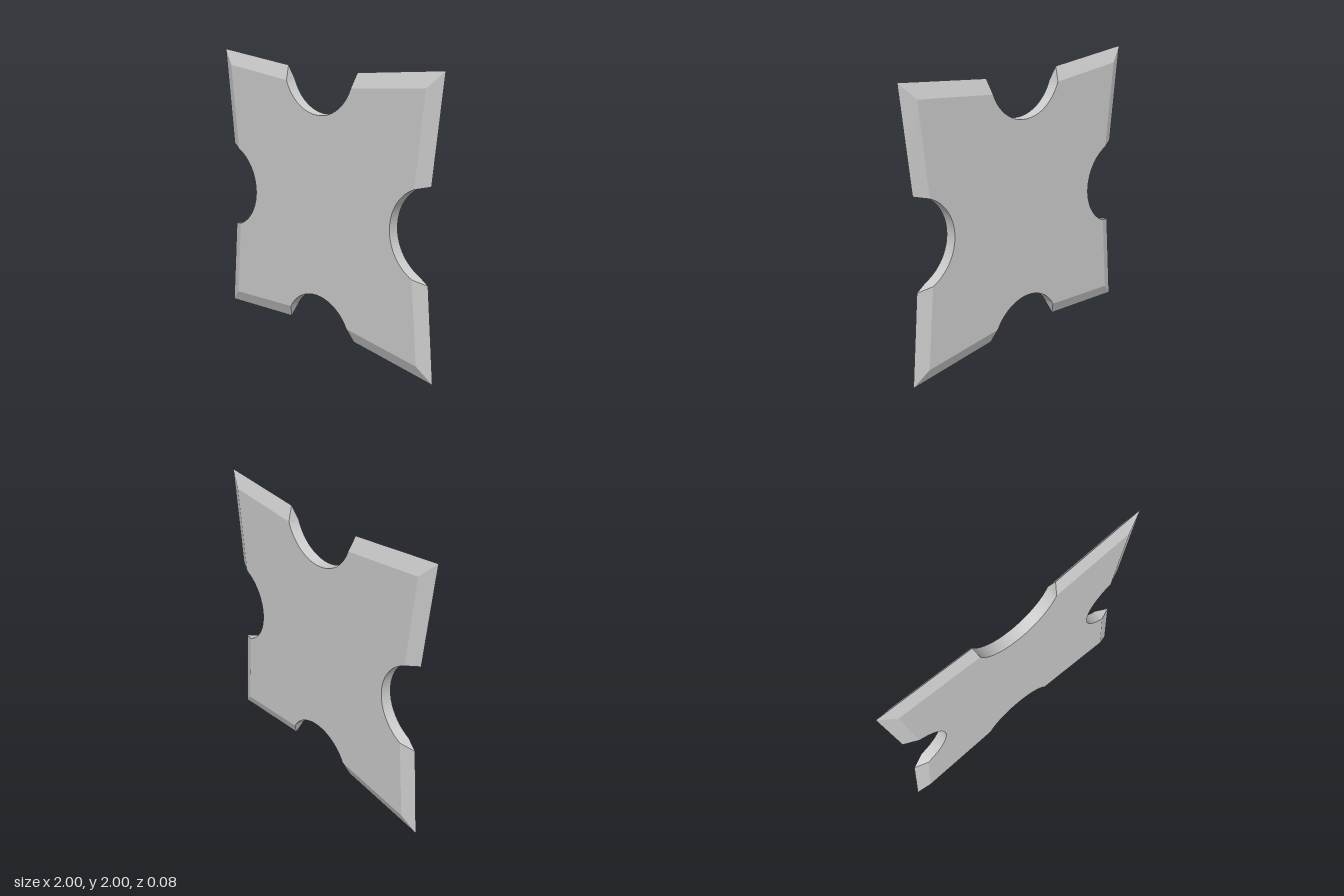
import * as THREE from 'three';

const H = 0.04;              // half thickness of the plate
const MID = 1.0025;          // height of the star's centre
const NOTCH_MID = 0.984;     // height of the centre of the notch ring
const NOTCH_DIST = 0.965, NOTCH_R = 0.32, STEPS = 32;

// point of the star outline, turned by quarter turns about the centre
function starPoint(u, v, turn) {
  const p = new THREE.Vector2(u, v).rotateAround(new THREE.Vector2(), turn);
  return new THREE.Vector2(p.x, MID + p.y * 0.9975);
}

// where the edge from a corner to the middle of a side enters the notch circle
function enterCircle(from, to, centre) {
  const d = to.clone().sub(from), f = from.clone().sub(centre);
  const a = d.dot(d), b = f.dot(d), c = f.dot(f) - NOTCH_R * NOTCH_R;
  return from.clone().addScaledVector(d, (-b - Math.sqrt(b * b - a * c)) / a);
}

function buildGeometry(points, index) {
  const g = new THREE.BufferGeometry();
  g.setAttribute('position', new THREE.Float32BufferAttribute(points, 3));
  if (index) g.setIndex(index);
  g.computeVertexNormals();
  return g;
}

export function createModel() {
  const group = new THREE.Group();
  const material = new THREE.MeshStandardMaterial({ color: 0xcccccc });
  const add = (geometry, name) => {
    const mesh = new THREE.Mesh(geometry, material);
    mesh.name = name;
    group.add(mesh);
    return mesh;
  };

  const faceOutline = [];
  const bevel = [];

  // flat bevel strip on both sides, from the sharp edge up to the face
  const addBevel = (o0, o1, i1, i0) => {
    for (const s of [1, -1]) {
      const q = [[o0, 0], [o1, 0], [i1, s * H], [i0, s * H]];
      const order = s > 0 ? [0, 1, 2, 0, 2, 3] : [0, 2, 1, 0, 3, 2];
      for (const k of order) bevel.push(q[k][0].x, q[k][0].y, q[k][1]);
    }
  };

  for (let k = 0; k < 4; k++) {
    const turn = k * Math.PI / 2;
    const centre = new THREE.Vector2(0, NOTCH_DIST).rotateAround(new THREE.Vector2(), turn);
    centre.y += NOTCH_MID;

    // outer sharp edge and inner face edge of this side
    const [outer, inner] = [[1, 0.902], [0.893, 0.805]].map(([corner, dent]) => {
      const a = starPoint(corner, corner, turn), b = starPoint(-corner, corner, turn);
      const m = starPoint(0, dent, turn);
      return { a, b, hitA: enterCircle(a, m, centre), hitB: enterCircle(b, m, centre) };
    });
    addBevel(outer.a, outer.hitA, inner.hitA, inner.a);
    addBevel(outer.hitB, outer.b, inner.b, inner.hitB);

    // round notch, swept clockwise into the plate
    const start = inner.hitA.clone().sub(centre).angle();
    let end = inner.hitB.clone().sub(centre).angle();
    if (end > start) end -= 2 * Math.PI;
    faceOutline.push(inner.a);
    const wall = [], index = [];
    for (let i = 0; i <= STEPS; i++) {
      const t = start + (end - start) * i / STEPS;
      const p = new THREE.Vector2(Math.cos(t), Math.sin(t)).multiplyScalar(NOTCH_R).add(centre);
      faceOutline.push(p);
      wall.push(p.x, p.y, -H, p.x, p.y, H);
      const n = 2 * i;
      if (i < STEPS) index.push(n, n + 2, n + 3, n, n + 3, n + 1);
    }
    // pointed ends of the notch wall reach the sharp edge
    const last = 2 * STEPS;
    wall.push(outer.hitA.x, outer.hitA.y, 0, outer.hitB.x, outer.hitB.y, 0);
    index.push(last + 2, 0, 1, last, last + 3, last + 1);
    add(buildGeometry(wall, index), 'notchWall' + (k + 1));
  }

  add(buildGeometry(bevel), 'bladeBevels');

  // flat front and back faces
  const face = new THREE.ShapeGeometry(new THREE.Shape(faceOutline));
  add(face, 'frontFace').position.z = H;
  const back = add(face.clone().rotateY(Math.PI), 'backFace');
  back.position.z = -H;

  return group;
}
